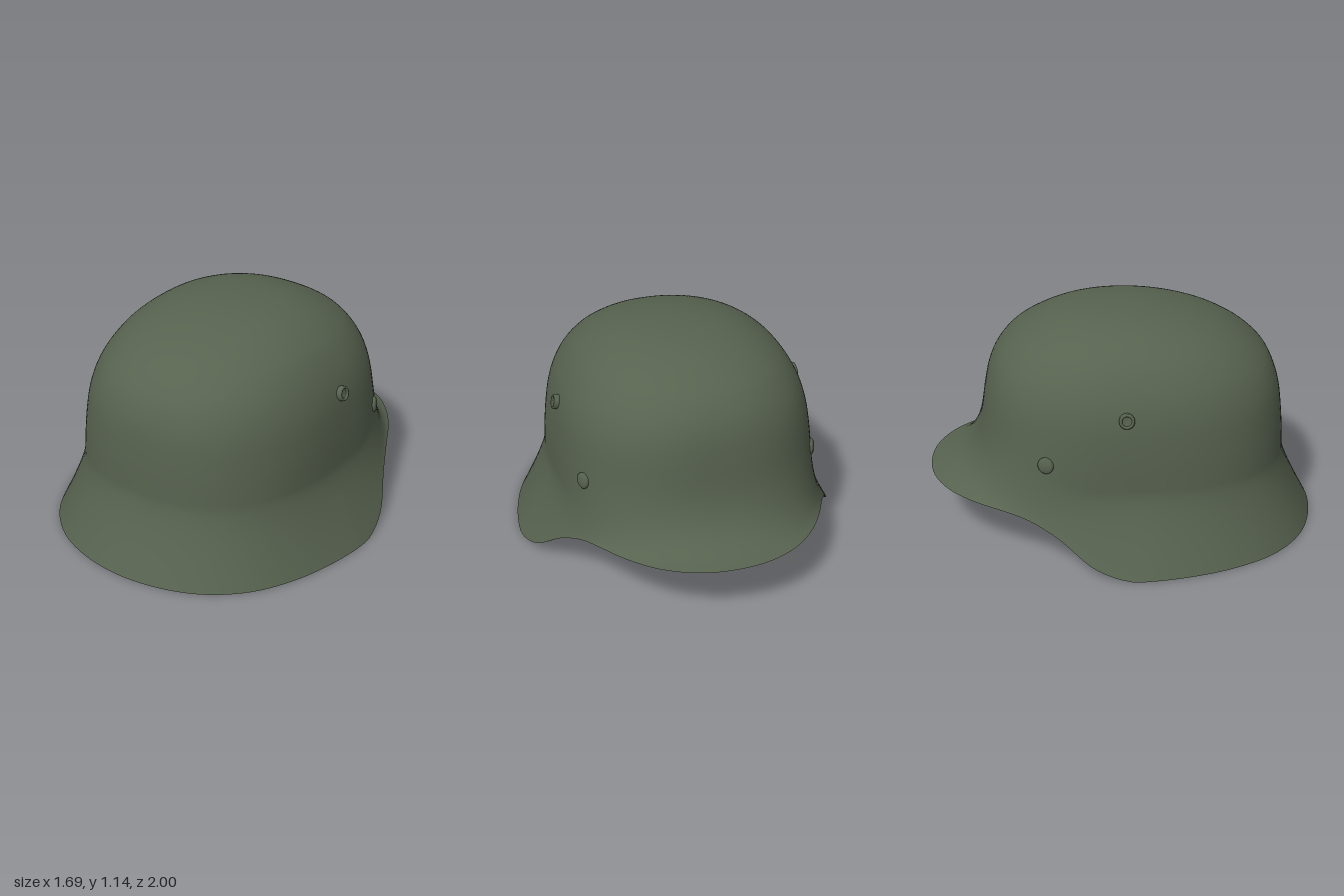
import * as THREE from 'three';

const COLUMNS = 128, SKIRT_ROWS = 14, BOWL_ROWS = 36;
const V = (x, y, z) => new THREE.Vector3(x, y, z);

// Half of the rim, from the front centre (+z) round the left side to the back
const RIM = [
  [0, 0, 1], [0.25, 0, 0.965], [0.45, 0, 0.88], [0.62, 0, 0.73], [0.74, 0, 0.52],
  [0.81, 0, 0.3], [0.842, 0, 0.1], [0.84, 0, 0], [0.80, 0.05, -0.17], [0.705, 0.175, -0.35],
  [0.63, 0.242, -0.5], [0.57, 0.262, -0.62], [0.48, 0.268, -0.76], [0.35, 0.27, -0.89],
  [0.18, 0.27, -0.975], [0, 0.27, -1],
];

// Bowl sections from bottom to top: height, half width, front reach, back reach
const BOWL = [
  [0.40, 0.667, 0.833, 0.775], [0.55, 0.66, 0.825, 0.73], [0.70, 0.643, 0.808, 0.705],
  [0.80, 0.618, 0.78, 0.683], [0.88, 0.583, 0.738, 0.65], [0.95, 0.538, 0.67, 0.60],
  [1.00, 0.492, 0.60, 0.545], [1.05, 0.425, 0.505, 0.46], [1.09, 0.345, 0.385, 0.37],
  [1.12, 0.245, 0.255, 0.265], [1.137, 0.125, 0.13, 0.14], [1.142, 0, 0, 0],
];
const reachCurve = new THREE.CatmullRomCurve3(BOWL.map(b => V(b[1], b[2], b[3])), false, 'catmullrom', 0.5);
const heightCurve = new THREE.CatmullRomCurve3(BOWL.map(b => V(0, b[0], 0)), false, 'catmullrom', 0.5);

// Point on the bowl at level t (0 to 1) in the horizontal direction dx, dz
function bowlPoint(t, dx, dz) {
  const r = reachCurve.getPoint(t);
  const a = Math.max(r.x, 1e-4), d = Math.max(dz > 0 ? r.y : r.z, 1e-4);
  const n = THREE.MathUtils.lerp(2.45, 2, t);
  const k = Math.pow(Math.pow(Math.abs(dx) / a, n) + Math.pow(Math.abs(dz) / d, n), -1 / n);
  return V(dx * k, heightCurve.getPoint(t).y, dz * k);
}

// One column of the shell, from the rim up to just below the crown
function shellColumn(rim) {
  const dx = rim.x * 0.667 / 0.84, dz = rim.z * 0.82;
  const back = THREE.MathUtils.smoothstep(-rim.z, 0.15, 0.75);
  const t0 = back / (BOWL.length - 1);
  const crease = bowlPoint(t0, dx, dz);
  const flare = 1 + 0.07 * back;
  const control = V(crease.x * flare, 0.3 + 0.01 * back, crease.z * flare);
  const skirt = new THREE.QuadraticBezierCurve3(rim, control, crease);
  const column = skirt.getPoints(SKIRT_ROWS);
  for (let j = 1; j < BOWL_ROWS; j++) {
    column.push(bowlPoint(t0 + (1 - t0) * j / BOWL_ROWS, dx, dz));
  }
  return column;
}

function indexed(positions, index) {
  const g = new THREE.BufferGeometry();
  g.setAttribute('position', new THREE.Float32BufferAttribute(positions, 3));
  g.setIndex(index);
  g.computeVertexNormals();
  return g;
}

// Outer skin, inner skin set in by the thickness, and the lip joining them
function shellGeometries(thickness) {
  const half = RIM.map(p => V(...p));
  const other = half.slice(1, -1).reverse().map(p => V(-p.x, p.y, p.z));
  const rimCurve = new THREE.CatmullRomCurve3([...half, ...other], true, 'centripetal');
  const columns = rimCurve.getSpacedPoints(COLUMNS).slice(0, COLUMNS).map(shellColumn);
  const rows = columns[0].length, apex = COLUMNS * rows;
  const positions = [], index = [];
  columns.forEach(c => c.forEach(p => positions.push(p.x, p.y, p.z)));
  positions.push(0, BOWL[BOWL.length - 1][0], 0);
  for (let i = 0; i < COLUMNS; i++) {
    const a = i * rows, b = ((i + 1) % COLUMNS) * rows;
    for (let j = 0; j < rows - 1; j++) {
      index.push(a + j, b + j, b + j + 1, a + j, b + j + 1, a + j + 1);
    }
    index.push(a + rows - 1, b + rows - 1, apex);
  }
  const outer = indexed(positions, index);

  const normals = outer.attributes.normal.array;
  const inset = positions.map((v, k) => v - normals[k] * thickness);
  for (let i = 0; i < COLUMNS; i++) {
    const y = i * rows * 3 + 1;
    inset[y] = positions[y]; // keep the lip level
  }
  const inner = indexed(inset, index.slice().reverse());

  const lipPositions = [], lipIndex = [];
  for (let i = 0; i < COLUMNS; i++) {
    const k = i * rows * 3, a = i * 2, b = ((i + 1) % COLUMNS) * 2;
    lipPositions.push(...positions.slice(k, k + 3), ...inset.slice(k, k + 3));
    lipIndex.push(a, a + 1, b + 1, a, b + 1, b);
  }
  return { outer, inner, lip: indexed(lipPositions, lipIndex) };
}

// Turned fitting whose axis follows the shell's normal
function fitting(name, profile, position, normal, material) {
  const points = profile.map(p => new THREE.Vector2(...p));
  const mesh = new THREE.Mesh(new THREE.LatheGeometry(points, 28), material);
  mesh.name = name;
  mesh.position.copy(position);
  mesh.quaternion.setFromUnitVectors(V(0, 1, 0), normal.normalize());
  return mesh;
}

export function createModel() {
  const group = new THREE.Group();
  group.name = 'helmet';
  const green = new THREE.MeshStandardMaterial({ color: 0x57624f });
  green.name = 'field green';

  // Shell
  const { outer, inner, lip } = shellGeometries(0.016);
  const parts = { outerShell: outer, innerShell: inner, rimLip: lip };
  for (const [name, geometry] of Object.entries(parts)) {
    const mesh = new THREE.Mesh(geometry, green);
    mesh.name = name;
    group.add(mesh);
  }

  // Hollow vent bushings and rear rivets, both passing through the shell
  const vent = [[0, -0.026], [0.034, -0.026], [0.038, -0.02], [0.038, 0.016], [0.034, 0.023],
    [0.027, 0.023], [0.023, 0.016], [0.023, 0.012], [0, 0.012]];
  const rivet = [[0, -0.026], [0.038, -0.025], [0.041, -0.018], [0.041, 0.006], [0.034, 0.012],
    [0.018, 0.016], [0, 0.017]];
  for (const [label, s] of [['left', 1], ['right', -1]]) {
    group.add(fitting(label + 'Vent', vent, V(s * 0.63, 0.765, -0.01), V(s, 0.22, 0), green));
    group.add(fitting(label + 'Rivet', rivet, V(s * 0.595, 0.52, -0.4), V(s * 0.91, 0.08, -0.41), green));
  }
  return group;
}
